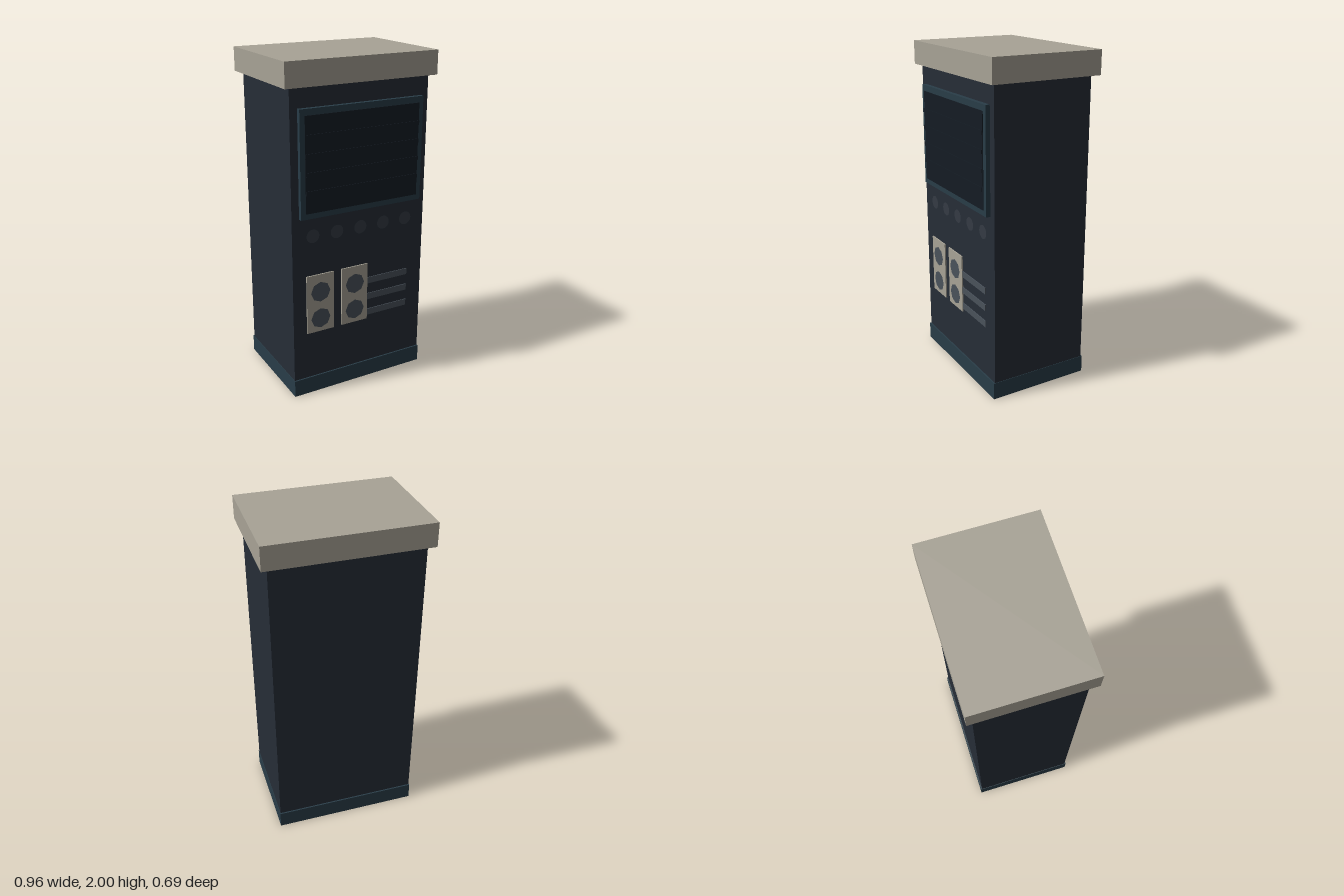
import * as THREE from 'three';

export function createModel() {
  const cabinet = new THREE.Group();
  cabinet.name = 'cabinet';

  const mat = (color) => new THREE.MeshStandardMaterial({ color, flatShading: true });
  const navy = mat(0x262d37), teal = mat(0x293d48), glass = mat(0x141c24);
  const beige = mat(0xa8a396), grey = mat(0x4a525b), dark = mat(0x343b44);

  // Box given by its limits on each axis
  function box(name, material, [x0, x1], [y0, y1], [z0, z1]) {
    const mesh = new THREE.Mesh(new THREE.BoxGeometry(x1 - x0, y1 - y0, z1 - z0), material);
    mesh.name = name;
    mesh.position.set((x0 + x1) / 2, (y0 + y1) / 2, (z0 + z1) / 2);
    cabinet.add(mesh);
  }

  // Thin disc facing the front
  function disc(name, material, radius, sides, x, y, z) {
    const mesh = new THREE.Mesh(new THREE.CircleGeometry(radius, sides), material);
    mesh.name = name;
    mesh.position.set(x, y, z);
    cabinet.add(mesh);
  }

  // Housing
  box('body', navy, [-0.44, 0.44], [0.1, 1.87], [-0.308, 0.308]);
  box('base', teal, [-0.443, 0.443], [0, 0.105], [-0.317, 0.317]);
  box('cap', beige, [-0.478, 0.478], [1.86, 2], [-0.345, 0.341]);

  // Display with faint horizontal scan lines
  box('screenFrame', teal, [-0.394, 0.394], [1.127, 1.746], [0.3, 0.334]);
  box('screen', glass, [-0.365, 0.365], [1.16, 1.71], [0.32, 0.338]);
  for (const y of [1.28, 1.385, 1.49, 1.595])
    box('scanLine', glass, [-0.364, 0.364], [y - 0.012, y + 0.012], [0.341, 0.345]);

  // Row of buttons
  for (let i = -2; i <= 2; i++) disc('button', dark, 0.041, 16, i * 0.155, 1.012, 0.311);

  // Socket plates, two round sockets on each
  for (const x of [-0.267, -0.037]) {
    box('socketPlate', beige, [x - 0.088, x + 0.088], [0.403, 0.77], [0.3, 0.316]);
    for (const y of [0.49, 0.66]) disc('socket', grey, 0.063, 8, x, y, 0.319);
  }

  // Vent slats beside the plates
  for (const y of [0.445, 0.55, 0.656])
    box('ventSlat', grey, [0, 0.335], [y - 0.02, y + 0.02], [0.3, 0.313]);

  return cabinet;
}
